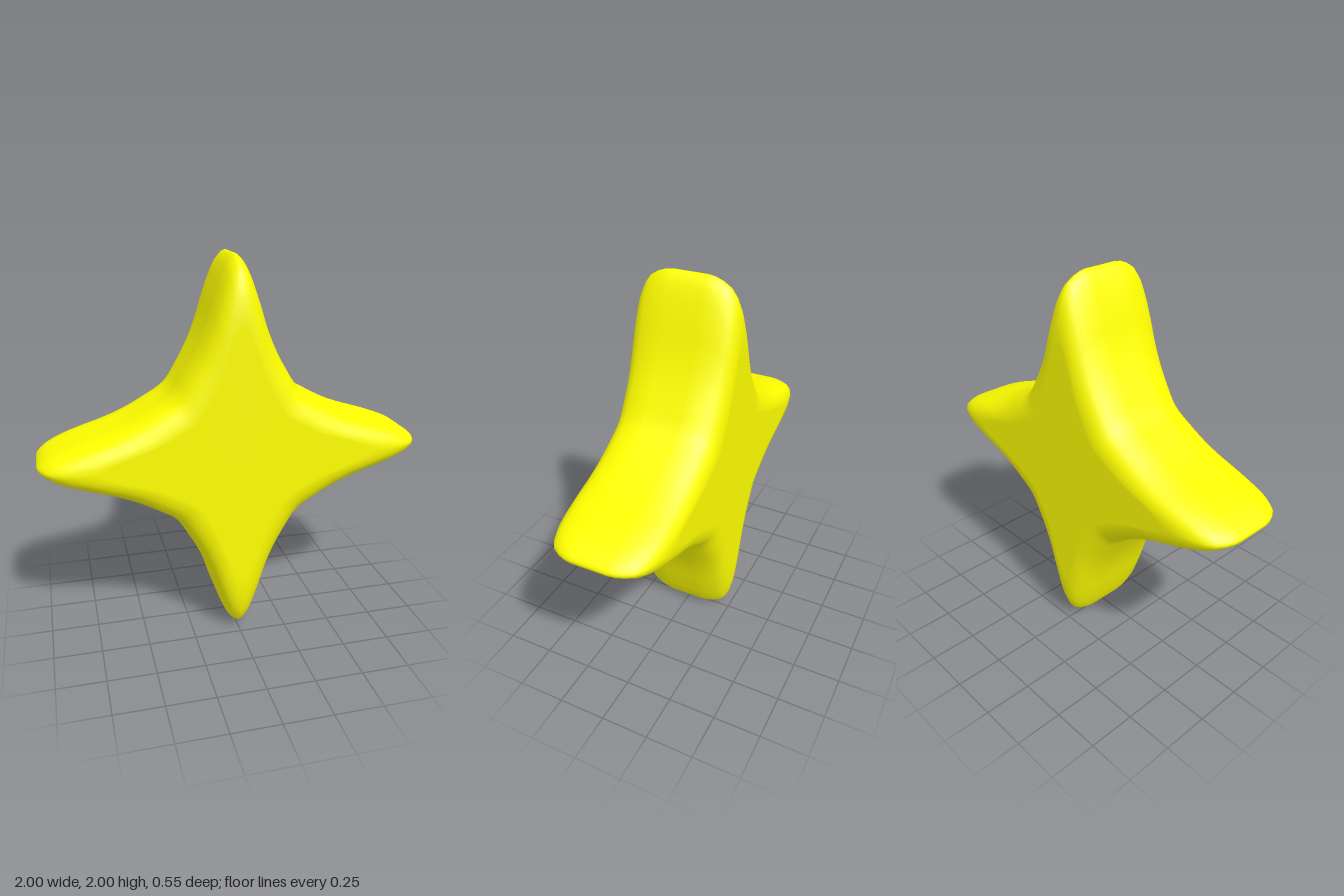
import * as THREE from 'three';

// Half of one arm, from its tip to the middle of the valley: [along, across]
const HALF_ARM = [[1, 0], [0.975, 0.032], [0.92, 0.063], [0.8, 0.107], [0.68, 0.145], [0.56, 0.193], [0.44, 0.257], [0.33, 0.33]];
// Rounded edge, from the back face to the middle: [scale of outline, depth]
const EDGE = [[0.68, -0.275], [0.72, -0.275], [0.8, -0.268], [0.87, -0.252], [0.92, -0.231], [0.955, -0.205], [0.98, -0.165], [0.995, -0.125], [1, -0.09]];

// Four-pointed outline, counter-clockwise seen from the front
function starOutline() {
  const quarter = [...HALF_ARM, ...HALF_ARM.slice(1, -1).reverse().map(([a, b]) => [b, a])];
  const points = [];
  for (let arm = 0; arm < 4; arm++) {
    const c = [1, 0, -1, 0][arm], s = [0, 1, 0, -1][arm];
    for (const [a, b] of quarter) points.push(new THREE.Vector3(a * c - b * s, a * s + b * c, 0));
  }
  const curve = new THREE.CatmullRomCurve3(points, true, 'centripetal');
  return Array.from({ length: points.length * 4 }, (_, i) => curve.getPoint(i / (points.length * 4)));
}

function starGeometry() {
  const outline = starOutline(), n = outline.length;
  const rings = [...EDGE, ...[...EDGE].reverse().map(([k, z]) => [k, -z])];
  const positions = [], index = [];
  for (const [k, z] of rings) for (const p of outline) positions.push(p.x * k, p.y * k, z);

  // Walls between neighbouring rings
  for (let r = 0; r < rings.length - 1; r++) {
    for (let i = 0; i < n; i++) {
      const a = r * n + i, b = r * n + (i + 1) % n;
      index.push(a, b, b + n, a, b + n, a + n);
    }
  }

  // Flat back and front faces
  const back = positions.length / 3, front = back + 1, last = (rings.length - 1) * n;
  positions.push(0, 0, rings[0][1], 0, 0, rings[rings.length - 1][1]);
  for (let i = 0; i < n; i++) {
    const j = (i + 1) % n;
    index.push(back, j, i, front, last + i, last + j);
  }

  const geometry = new THREE.BufferGeometry();
  geometry.setAttribute('position', new THREE.Float32BufferAttribute(positions, 3));
  geometry.setIndex(index);
  geometry.computeVertexNormals();
  return geometry;
}

export function createModel() {
  const model = new THREE.Group();
  model.name = 'fourPointedStar';
  const star = new THREE.Mesh(starGeometry(), new THREE.MeshStandardMaterial({ color: 0xffff00 }));
  star.name = 'starBody';
  star.position.y = 1;
  model.add(star);
  return model;
}
